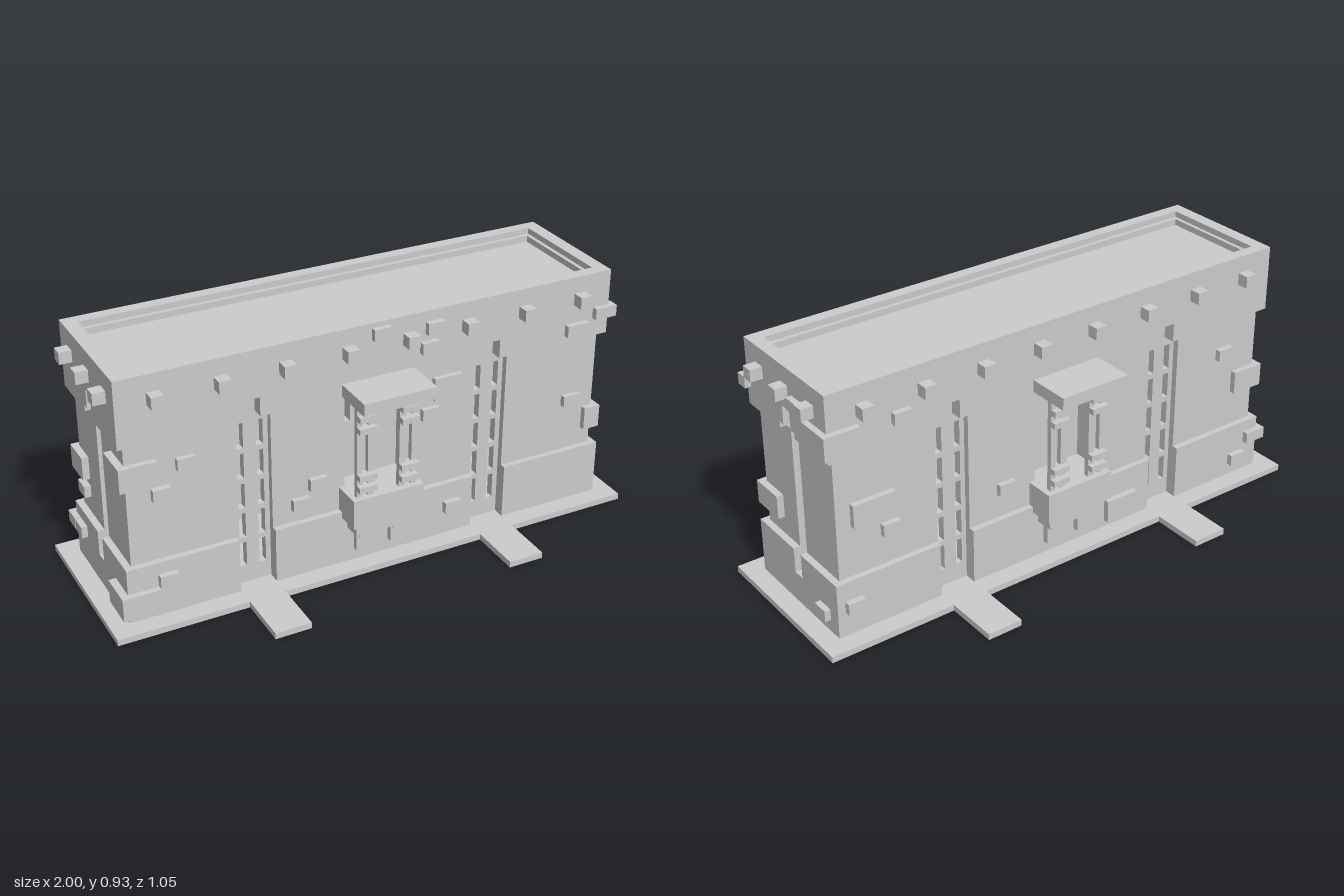
import * as THREE from 'three';

const material = new THREE.MeshStandardMaterial({ color: 0xcccccc, flatShading: true });

// Box given by its extents
function box(parent, name, x0, x1, y0, y1, z0, z1) {
  const m = new THREE.Mesh(new THREE.BoxGeometry(x1 - x0, y1 - y0, z1 - z0), material);
  m.position.set((x0 + x1) / 2, (y0 + y1) / 2, (z0 + z1) / 2);
  m.name = name;
  parent.add(m);
}

// Upright slab from an outline, with rectangular holes [x0, x1, y0, y1]
function slab(parent, name, outline, holes, z0, z1) {
  const shape = new THREE.Shape(outline.map(p => new THREE.Vector2(...p)));
  for (const [a, b, c, d] of holes) {
    shape.holes.push(new THREE.Path([[a, c], [a, d], [b, d], [b, c]].map(p => new THREE.Vector2(...p))));
  }
  const geo = new THREE.ExtrudeGeometry(shape, { depth: z1 - z0, bevelEnabled: false });
  const m = new THREE.Mesh(geo, material);
  m.position.z = z0;
  m.name = name;
  parent.add(m);
}

const rect = (a, b, c, d) => [[a, c], [b, c], [b, d], [a, d]];

// Upper band outline with notches [x0, x1, top] cut into its lower edge
function notched(half, y0, y1, notches) {
  const pts = [[-half, y0]];
  for (const [a, b, t] of notches) pts.push([a, y0], [a, t], [b, t], [b, y0]);
  pts.push([half, y0], [half, y1], [-half, y1]);
  return pts;
}

function bricks(parent, wall, list) {
  for (const [a, b, c, d] of list) {
    const face = wall - (c > 0.23 && d < 0.69 ? 0.023 : 0);
    box(parent, 'brick', a, b, c, d, face - 0.02, face + 0.022);
  }
}

// Balcony with canopy, slim columns and brackets
function balcony(parent) {
  const g = new THREE.Group();
  g.name = 'balcony';
  box(g, 'canopy', -0.137, 0.137, 0.685, 0.73, 0.2, 0.41);
  box(g, 'parapet', -0.137, 0.137, 0.208, 0.32, 0.2, 0.34);
  box(g, 'corbel', -0.115, 0.115, 0.163, 0.208, 0.2, 0.318);
  for (const s of [-1, 1]) {
    const b = (name, a, c, ...rest) => box(g, name, Math.min(s * a, s * c), Math.max(s * a, s * c), ...rest);
    b('upperBracket', 0.045, 0.09, 0.14, 0.163, 0.2, 0.297);
    b('lowerBracket', 0.045, 0.09, 0.07, 0.14, 0.2, 0.272);
    b('innerColumn', 0.048, 0.073, 0.32, 0.685, 0.3, 0.319);
    b('outerColumn', 0.095, 0.115, 0.32, 0.685, 0.3, 0.319);
    for (const y of [0.345, 0.39, 0.572, 0.617]) b('columnRing', 0.048, 0.115, y, y + 0.022, 0.3, 0.341);
  }
  parent.add(g);
}

// Long wall: slotted core, facing panels, notched top band, pegs, balcony
function longWall(name, brickList) {
  const g = new THREE.Group();
  g.name = name;
  const door = [-0.115, 0.115, 0.32, 0.685];
  const slots = [door];
  for (const c of [-0.457, 0.457]) {
    for (const o of [-0.036, 0.036]) {
      for (let i = 0; i < 5; i++) {
        const y = 0.09 + i * 0.116;
        slots.push([c + o - 0.0125, c + o + 0.0125, y, y + 0.096]);
      }
    }
  }
  slab(g, 'slottedWall', rect(-0.88, 0.88, 0.02, 0.88), slots, 0.175, 0.205);
  for (const [a, b, end] of [[-0.905, -0.525, -0.93], [-0.39, 0.39, 0], [0.525, 0.905, 0.93]]) {
    slab(g, 'wallPanel', rect(a, b, 0.23, 0.685), end ? [] : [[-0.115, 0.115, 0.32, 0.684]], 0.205, 0.228);
    box(g, 'plinth', end < 0 ? end : a, end > 0 ? end : b, 0.02, 0.23, 0.205, 0.25);
  }
  slab(g, 'topBand', notched(0.93, 0.685, 0.93,
    [[-0.48, -0.435, 0.755], [0.435, 0.48, 0.755]]), [], 0.205, 0.25);
  for (let i = 0; i < 8; i++) {
    const x = -0.8 + i * 0.229;
    box(g, 'peg', x - 0.022, x + 0.022, 0.823, 0.867, 0.24, 0.293);
  }
  balcony(g);
  bricks(g, 0.25, brickList);
  return g;
}

// End wall: one narrow ladder of openings
function endWall(name, brickList) {
  const g = new THREE.Group();
  g.name = name;
  const slots = [];
  for (let i = 0; i < 15; i++) {
    const y = 0.137 + i * 0.044;
    slots.push([-0.023, 0.023, y, y + 0.0225]);
  }
  slab(g, 'slottedWall', rect(-0.205, 0.205, 0.02, 0.88), slots, 0.85, 0.88);
  for (const s of [-1, 1]) {
    box(g, 'wallPanel', s < 0 ? -0.205 : 0.023, s < 0 ? -0.023 : 0.205, 0.23, 0.685, 0.88, 0.905);
  }
  slab(g, 'plinth', [[-0.205, 0.02], [0.205, 0.02], [0.205, 0.23], [0.023, 0.23], [0.023, 0.137],
    [-0.023, 0.137], [-0.023, 0.23], [-0.205, 0.23]], [], 0.88, 0.93);
  slab(g, 'topBand', [[-0.205, 0.685], [-0.047, 0.685], [-0.047, 0.707], [-0.023, 0.707], [-0.023, 0.777],
    [0.023, 0.777], [0.023, 0.707], [0.047, 0.707], [0.047, 0.685], [0.205, 0.685], [0.205, 0.93],
    [-0.205, 0.93]], [], 0.88, 0.93);
  for (const u of [-0.16, 0, 0.16]) box(g, 'peg', u - 0.022, u + 0.022, 0.823, 0.867, 0.92, 0.975);
  bricks(g, 0.93, brickList);
  return g;
}

export function createModel() {
  const model = new THREE.Group();
  model.name = 'building';

  // Ground plate with entrance paths
  box(model, 'basePlate', -1, 1, 0, 0.023, -0.32, 0.32);
  for (const x of [-0.457, 0.457]) {
    for (const s of [-1, 1]) {
      box(model, 'path', x - 0.067, x + 0.067, 0, 0.023, s < 0 ? -0.523 : 0.32, s < 0 ? -0.32 : 0.523);
    }
  }

  // Sunken roof with a stepped inner rim
  box(model, 'roof', -0.88, 0.88, 0.86, 0.885, -0.206, 0.206);
  const rim = (name, xo, zo, xi, zi, y0, y1) => {
    for (const s of [-1, 1]) {
      box(model, name, -xo, xo, y0, y1, s < 0 ? -zo : zi, s < 0 ? -zi : zo);
      box(model, name, s < 0 ? -xo : xi, s < 0 ? -xi : xo, y0, y1, -zi, zi);
    }
  };
  rim('roofStep', 0.89, 0.21, 0.865, 0.188, 0.86, 0.908);

  const front = longWall('frontWall', [
    [-0.025, 0.04, 0.87, 0.912], [0.18, 0.245, 0.847, 0.89], [0.16, 0.225, 0.778, 0.82],
    [0.75, 0.84, 0.71, 0.753], [0.225, 0.335, 0.575, 0.66], [0.18, 0.245, 0.505, 0.55],
    [-0.73, -0.665, 0.555, 0.597], [-0.82, -0.755, 0.462, 0.505], [0.77, 0.84, 0.415, 0.457],
    [-0.255, -0.19, 0.345, 0.388], [-0.32, -0.255, 0.28, 0.323], [0.27, 0.335, 0.117, 0.16],
    [-0.82, -0.755, 0.142, 0.185],
  ]);
  const back = longWall('backWall', [
    [-0.85, -0.69, 0.42, 0.505], [-0.74, -0.675, 0.345, 0.388], [-0.9, -0.835, 0.115, 0.158],
    [0.185, 0.32, 0.05, 0.137], [0.79, 0.855, 0.07, 0.113], [-0.275, -0.21, 0.322, 0.365],
    [0.715, 0.78, 0.53, 0.573], [-0.695, -0.63, 0.755, 0.797],
  ]);
  back.rotation.y = Math.PI;
  const right = endWall('rightEndWall', [[0.045, 0.11, 0.8, 0.843], [0.137, 0.2, 0.07, 0.113]]);
  right.rotation.y = Math.PI / 2;
  const left = endWall('leftEndWall', [[-0.2, -0.137, 0.142, 0.185], [-0.2, -0.137, 0.3, 0.343]]);
  left.rotation.y = -Math.PI / 2;
  model.add(front, back, right, left);

  // Quoin blocks wrapping the corners
  const quoins = [
    [-0.932, -0.8, 0.525, 0.612, 0.115, 0.25], [-0.957, -0.82, 0.05, 0.137, 0.137, 0.272],
    [0.865, 0.952, 0.755, 0.797, 0.228, 0.272], [0.865, 0.93, 0.3, 0.387, 0.115, 0.25],
    [0.82, 0.952, 0.71, 0.797, -0.272, -0.137], [-0.93, -0.8, 0.37, 0.457, -0.25, -0.137],
    [-0.952, -0.865, 0.142, 0.185, -0.272, -0.205],
  ];
  for (const q of quoins) box(model, 'quoin', ...q);
  return model;
}
